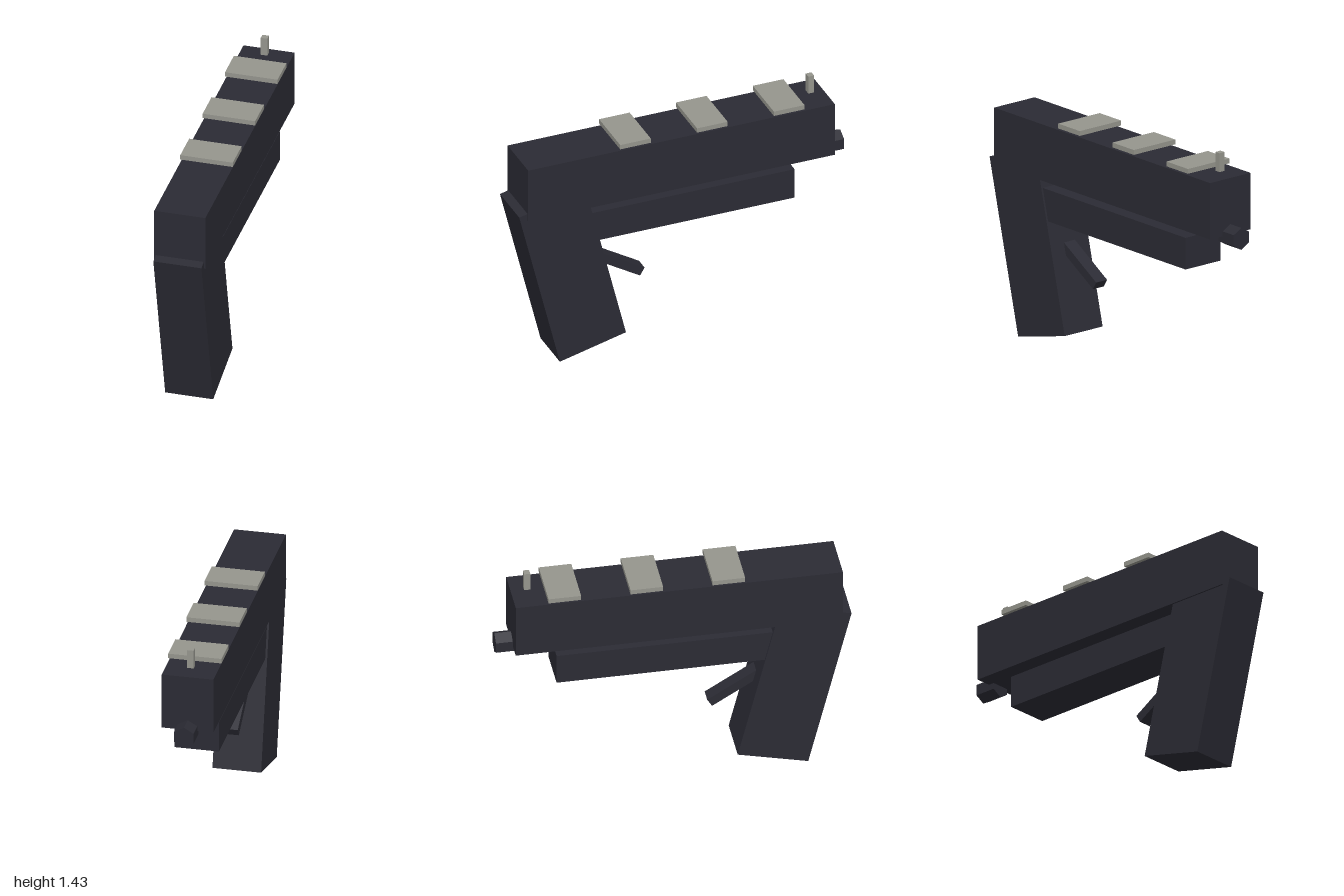
import * as THREE from 'three';

export function createModel() {
  const model = new THREE.Group();
  const darkMetal = new THREE.MeshStandardMaterial({ color: 0x2b2b34 });
  darkMetal.name = 'darkMetal';
  const paleGrey = new THREE.MeshStandardMaterial({ color: 0x95958d });
  paleGrey.name = 'paleGrey';

  function add(name, geometry, material, x, y, z, tilt = 0) {
    const mesh = new THREE.Mesh(geometry, material);
    mesh.name = name;
    mesh.position.set(x, y, z);
    mesh.rotation.x = tilt;
    model.add(mesh);
    return mesh;
  }
  const box = (w, h, d) => new THREE.BoxGeometry(w, h, d);

  // Main body and the rail below it
  add('slide', box(0.296, 0.33, 1.855), darkMetal, 0, 1.135, 0.0225);
  add('lowerRail', box(0.255, 0.185, 1.27), darkMetal, 0, 0.8275, -0.035);

  // Slanted grip and trigger
  add('grip', box(0.278, 1.025, 0.412), darkMetal, 0, 0.5525, 0.6775, 0.242);
  add('trigger', box(0.08, 0.053, 0.4), darkMetal, 0, 0.515, 0.385, -0.545);

  // Six-sided muzzle, corners up and down
  const muzzle = new THREE.CylinderGeometry(0.064, 0.064, 0.13, 6).toNonIndexed();
  muzzle.rotateX(Math.PI / 2);
  muzzle.computeVertexNormals();
  add('muzzle', muzzle, darkMetal, 0, 0.967, -0.935);

  // Top plates and sight post
  for (const z of [0.3025, -0.1625, -0.6275]) {
    add('topPlate', box(0.304, 0.028, 0.185), paleGrey, 0, 1.325, z);
  }
  add('sightPost', box(0.038, 0.11, 0.035), paleGrey, 0, 1.376, -0.8165);

  return model;
}
